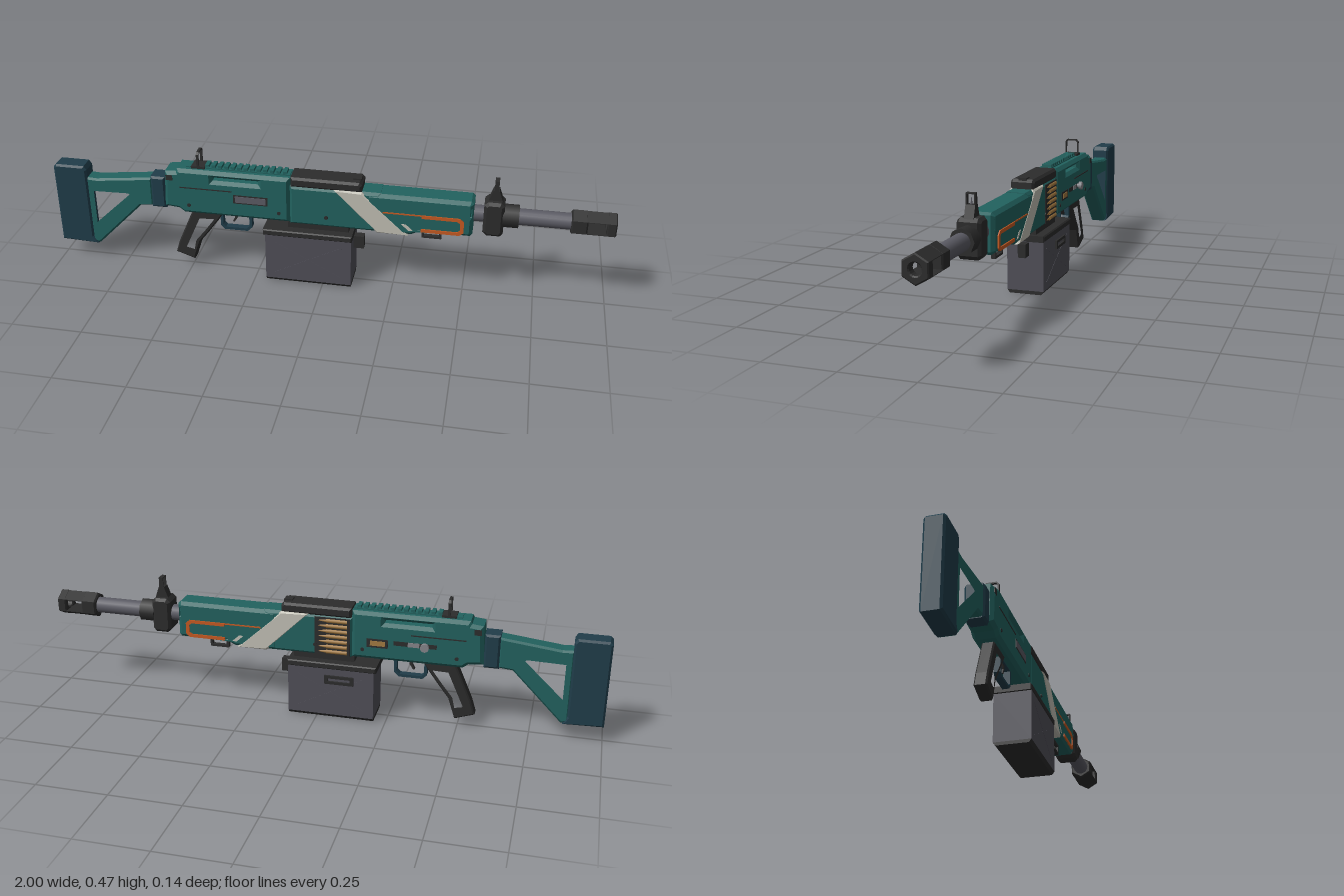
import * as THREE from 'three';

const mat = (name, color) => Object.assign(new THREE.MeshStandardMaterial({ color }), { name });
const teal = mat('teal shell', 0x22625f);
const navy = mat('navy rubber', 0x203d4a);
const dark = mat('dark polymer', 0x2c2c2c);
const grey = mat('grey box', 0x504f58);
const steel = mat('steel', 0x5b5b64);
const silver = mat('silver', 0x85858a);
const orange = mat('orange trim', 0xc65a22);
const white = mat('pale stripe', 0xc2c0b5);
const brass = mat('brass', 0xa37a42);

const AXIS_Y = 0.321; // height of the barrel axis

export function createModel() {
  const root = new THREE.Group();
  root.name = 'toyBlaster';

  const add = (name, geo, material, x = 0, y = 0, z = 0) => {
    const m = new THREE.Mesh(geo, material);
    m.name = name;
    m.position.set(x, y, z);
    root.add(m);
    return m;
  };
  const loop = (pts) => pts.map(([x, y]) => new THREE.Vector2(x, y));
  const rect = (x0, x1, y0, y1) => [[x0, y0], [x1, y0], [x1, y1], [x0, y1]];

  // centred extrusion with chamfers kept inside the outline
  const extrude = (pts, half, bevel = 0, holes = []) => {
    const s = new THREE.Shape(loop(pts));
    holes.forEach((h) => s.holes.push(new THREE.Path(loop(h))));
    const depth = 2 * (half - bevel);
    const g = new THREE.ExtrudeGeometry(s, {
      depth, bevelEnabled: bevel > 0, bevelSize: bevel, bevelThickness: bevel,
      bevelOffset: -bevel, bevelSegments: 1, curveSegments: 12,
    });
    return g.translate(0, 0, -depth / 2);
  };
  const side = (name, material, pts, half, bevel, holes) =>
    add(name, extrude(pts, half, bevel, holes), material);
  // cross-section in (z, y) pushed along x from x0 to x1
  const along = (name, material, pts, x0, x1, y = 0, bevel = 0, holes = []) =>
    add(name, extrude(pts, (x1 - x0) / 2, bevel, holes).rotateY(Math.PI / 2), material, (x0 + x1) / 2, y);
  const box = (name, material, x0, x1, y0, y1, z0, z1) =>
    add(name, new THREE.BoxGeometry(x1 - x0, y1 - y0, z1 - z0), material,
      (x0 + x1) / 2, (y0 + y1) / 2, (z0 + z1) / 2);
  const rod = (name, material, x0, x1, y, z, r0, r1 = r0, n = 20) =>
    add(name, new THREE.CylinderGeometry(r1, r0, x1 - x0, n).rotateZ(-Math.PI / 2), material, (x0 + x1) / 2, y, z);
  const circle = (r, n) => Array.from({ length: n }, (_, i) => {
    const a = (i / n) * Math.PI * 2 + Math.PI / 2;
    return [Math.cos(a) * r, Math.sin(a) * r];
  });

  // shoulder stock
  side('buttPad', navy, [[-1, 0.065], [-0.86, 0.06], [-0.875, 0.09], [-0.875, 0.365], [-0.885, 0.38], [-0.99, 0.38], [-1, 0.37]], 0.034, 0.007);
  side('stock', teal, [[-0.88, 0.335], [-0.84, 0.333], [-0.63, 0.357], [-0.63, 0.245], [-0.68, 0.24], [-0.855, 0.062], [-0.88, 0.07]],
    0.03, 0.007, [[[-0.862, 0.29], [-0.72, 0.293], [-0.71, 0.28], [-0.855, 0.143], [-0.862, 0.143]]]);
  side('stockCollar', navy, rect(-0.633, -0.58, 0.242, 0.365), 0.034, 0.007);

  // receiver, with a sight slit right through it
  side('rearReceiver', teal, [[-0.582, 0.255], [-0.53, 0.25], [-0.51, 0.235], [-0.12, 0.235], [-0.12, 0.41], [-0.53, 0.41], [-0.535, 0.4], [-0.575, 0.395]],
    0.045, 0.012, [rect(-0.4, -0.235, 0.373, 0.385)]);
  side('midReceiver', teal, rect(-0.122, 0.2, 0.23, 0.382), 0.043, 0.01);
  side('topCover', dark, [[-0.118, 0.378], [0.135, 0.378], [0.135, 0.405], [0.125, 0.415], [-0.118, 0.415]], 0.043, 0.008);
  box('coverLatch', dark, 0.1, 0.13, 0.41, 0.42, -0.015, 0.015);

  // top rail
  box('railBase', teal, -0.5, -0.122, 0.405, 0.414, -0.02, 0.02);
  for (let i = 0; i < 13; i++) box('railTooth', teal, -0.43 + i * 0.0235, -0.416 + i * 0.0235, 0.412, 0.424, -0.018, 0.018);

  // handguard with side slot and open window
  side('handguard', teal, [[0.15, 0.23], [0.31, 0.23], [0.34, 0.245], [0.515, 0.245], [0.522, 0.255], [0.522, 0.372], [0.512, 0.38], [0.15, 0.38]],
    0.045, 0.012, [rect(0.18, 0.505, 0.336, 0.347), [[0.345, 0.262], [0.465, 0.262], [0.478, 0.27], [0.478, 0.296], [0.465, 0.303], [0.36, 0.303]]]);
  side('paintStripe', white, [[0.19, 0.228], [0.3, 0.228], [0.135, 0.382], [0.035, 0.382]], 0.0465, 0.006);
  side('smallStripe', white, [[0.275, 0.274], [0.292, 0.274], [0.318, 0.25], [0.301, 0.25]], 0.0462);

  // details present on both sides
  for (const s of [1, -1]) {
    const z = s * 0.046;
    const frame = side('windowTrim', orange, [[0.345, 0.25], [0.478, 0.25], [0.492, 0.262], [0.492, 0.303], [0.478, 0.316], [0.345, 0.316],
      [0.345, 0.304], [0.47, 0.304], [0.479, 0.296], [0.479, 0.269], [0.47, 0.262], [0.345, 0.262]], 0.003);
    frame.position.z = z;
    box('trimLine', orange, 0.21, 0.35, 0.311, 0.316, z - 0.001, z + 0.001);
    box('receiverGroove', dark, -0.52, -0.33, 0.338, 0.342, z - 0.0015, z + 0.0005);
    box('rearSlot', dark, -0.57, -0.545, 0.365, 0.385, z - 0.0015, z + 0.0005);
    for (const x of [-0.49, -0.16, 0.01]) {
      add('pin', new THREE.CylinderGeometry(0.007, 0.007, 0.004, 10).rotateX(Math.PI / 2), dark, x, 0.27, s * 0.0445);
    }
  }
  box('boltSlot', dark, -0.325, -0.2, 0.294, 0.328, 0.044, 0.0456);
  box('boltPlate', steel, -0.318, -0.207, 0.299, 0.323, 0.044, 0.0475);

  // right side: charging handle, ejection port and feed rounds
  box('handleSlot', dark, -0.42, -0.27, 0.297, 0.313, -0.0458, -0.044);
  add('chargingStem', new THREE.CylinderGeometry(0.008, 0.008, 0.02, 12).rotateX(Math.PI / 2), silver, -0.38, 0.305, -0.05);
  add('chargingKnob', new THREE.CylinderGeometry(0.015, 0.015, 0.012, 16).rotateX(Math.PI / 2), silver, -0.38, 0.305, -0.059);
  box('handlePlate', silver, -0.36, -0.32, 0.297, 0.313, -0.048, -0.044);
  box('portFrame', dark, -0.25, -0.175, 0.282, 0.314, -0.0465, -0.044);
  box('portRound', brass, -0.24, -0.187, 0.289, 0.307, -0.0485, -0.044);
  box('feedOpening', dark, -0.115, 0.012, 0.236, 0.376, -0.0445, -0.042);
  for (let i = 0; i < 7; i++) {
    rod('roundCase', brass, -0.105, -0.03, 0.247 + i * 0.0195, -0.041, 0.0082, 0.0082, 10);
    rod('roundTip', brass, -0.03, 0.004, 0.247 + i * 0.0195, -0.041, 0.0068, 0.003, 10);
  }

  // barrel and muzzle
  rod('barrel', steel, 0.15, 0.87, AXIS_Y, 0, 0.029);
  rod('barrelCollar', dark, 0.62, 0.675, AXIS_Y, 0, 0.042, 0.042, 8);
  const hex = circle(0.047, 6);
  along('muzzleRear', dark, hex, 0.85, 0.905, AXIS_Y, 0.005);
  along('muzzleFront', dark, hex, 0.968, 1, AXIS_Y, 0.004, [circle(0.019, 16)]);
  for (const s of [1, -1]) {
    const bar = [[-0.0405, 0.0215], [0.0405, 0.0215], [0.0405, 0.0235], [0, 0.046], [-0.0405, 0.0235]];
    along('muzzleBar', dark, bar.map(([z, y]) => [z, y * s]), 0.9, 0.972, AXIS_Y);
  }

  // front sight
  side('frontSightBlock', dark, [[0.555, 0.265], [0.57, 0.252], [0.615, 0.252], [0.625, 0.265], [0.625, 0.37], [0.612, 0.382], [0.568, 0.382], [0.555, 0.37]], 0.04, 0.01);
  side('frontSightTower', dark, [[0.567, 0.378], [0.617, 0.378], [0.602, 0.42], [0.582, 0.42]], 0.016);
  along('frontSightHood', dark, rect(-0.016, 0.016, 0.412, 0.456), 0.585, 0.6, 0, 0, [rect(-0.012, 0.012, 0.418, 0.452)]);
  add('frontSightPin', new THREE.ConeGeometry(0.004, 0.03, 8), steel, 0.592, 0.432, 0);

  // rear sight loop
  along('rearSight', dark, [[-0.026, 0.41], [0.026, 0.41], [0.026, 0.464], [0.018, 0.473], [-0.018, 0.473], [-0.026, 0.464]], -0.459, -0.45, 0, 0,
    [[[-0.021, 0.415], [0.021, 0.415], [0.021, 0.462], [0.016, 0.468], [-0.016, 0.468], [-0.021, 0.462]]]);
  box('rearSightBase', dark, -0.48, -0.43, 0.408, 0.418, -0.026, 0.026);

  // skeleton grip
  side('grip', dark, [[-0.485, 0.238], [-0.37, 0.238], [-0.39, 0.205], [-0.43, 0.15], [-0.465, 0.105], [-0.49, 0.028], [-0.56, 0.052], [-0.545, 0.1]],
    0.022, 0.005, [[[-0.465, 0.21], [-0.4, 0.21], [-0.438, 0.155], [-0.475, 0.108], [-0.485, 0.065], [-0.525, 0.075], [-0.515, 0.098]]]);

  // trigger and guard
  side('triggerGuard', navy, [[-0.385, 0.24], [-0.385, 0.18], [-0.37, 0.165], [-0.285, 0.165], [-0.268, 0.182], [-0.268, 0.24]], 0.012, 0,
    [[[-0.375, 0.232], [-0.375, 0.184], [-0.366, 0.175], [-0.289, 0.175], [-0.278, 0.186], [-0.278, 0.232]]]);
  side('trigger', dark, [[-0.34, 0.236], [-0.318, 0.236], [-0.322, 0.215], [-0.335, 0.195], [-0.341, 0.197], [-0.332, 0.215]], 0.006);

  // sling loop
  side('slingLoop', dark, rect(0.345, 0.415, 0.205, 0.25), 0.008, 0, [rect(0.353, 0.407, 0.213, 0.235)]);

  // ammunition box
  box('magazineWell', dark, -0.13, 0.09, 0.205, 0.235, -0.035, 0.035);
  along('boxBody', grey, [[-0.067, 0.012], [0.067, 0.012], [0.067, 0.195], [-0.067, 0.195]], -0.207, 0.104);
  along('boxBottom', dark, [[-0.058, 0], [0.058, 0], [0.067, 0.0125], [-0.067, 0.0125]], -0.207, 0.104);
  side('boxLid', dark, rect(-0.215, 0.106, 0.19, 0.213), 0.07, 0.004);
  box('boxLatch', dark, 0.1, 0.142, 0.14, 0.188, -0.014, 0.014);
  for (const s of [1, -1]) for (const t of [1, -1]) {
    const rib = add('boxRib', new THREE.BoxGeometry(0.27, 0.004, 0.002), grey, -0.051, 0.1, s * 0.067);
    rib.rotation.z = t * 0.48;
  }
  const handle = side('boxHandle', dark, rect(-0.135, -0.03, 0.135, 0.167), 0.004, 0, [rect(-0.122, -0.043, 0.145, 0.157)]);
  handle.position.z = -0.07;

  return root;
}
